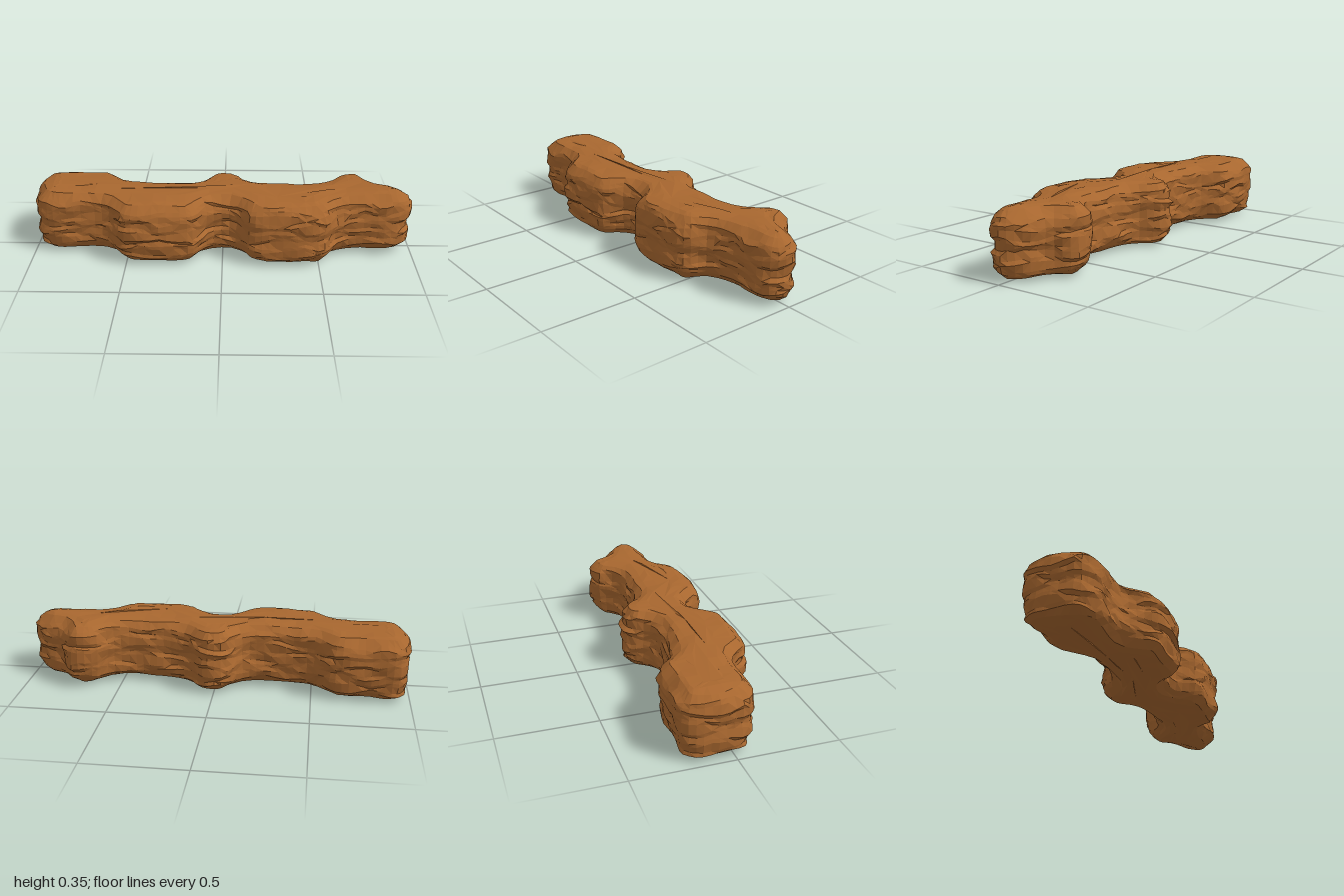
import * as THREE from 'three';

// Plan outline (x, z), clockwise seen from above
const OUTLINE = [
  [-0.99, -0.19], [-0.935, -0.25], [-0.78, -0.262], [-0.62, -0.25], [-0.56, -0.205], [-0.5, -0.15],
  [-0.42, -0.132], [-0.2, -0.132], [-0.14, -0.155], [-0.09, -0.22], [-0.04, -0.25], [0.05, -0.25],
  [0.1, -0.21], [0.15, -0.155], [0.25, -0.13], [0.5, -0.13], [0.56, -0.17], [0.6, -0.225],
  [0.66, -0.252], [0.73, -0.247], [0.78, -0.2], [0.82, -0.15], [0.92, -0.1], [0.98, -0.04],
  [0.995, 0.01], [0.96, 0.08], [0.87, 0.115], [0.65, 0.125], [0.59, 0.155], [0.54, 0.22],
  [0.48, 0.253], [0.2, 0.253], [0.13, 0.23], [0.09, 0.18], [0.04, 0.135], [-0.03, 0.13],
  [-0.08, 0.155], [-0.12, 0.21], [-0.18, 0.25], [-0.42, 0.26], [-0.52, 0.237], [-0.57, 0.175],
  [-0.62, 0.125], [-0.7, 0.117], [-0.9, 0.117], [-0.975, 0.07], [-0.997, -0.02],
];
// Middle line of the plan (x, z), towards which the caps run
const SPINE = [
  [-0.85, -0.07], [-0.62, -0.06], [-0.45, 0.04], [-0.2, 0.05], [0, -0.06],
  [0.2, 0.05], [0.45, 0.05], [0.6, -0.03], [0.7, -0.07], [0.86, 0],
];
const N = 132;        // samples around the outline
const STRATA = 7;     // horizontal rock layers
const HEIGHT = 0.334;

const hash = (a, b) => {
  const s = Math.sin(a * 127.1 + b * 311.7) * 43758.5453;
  return s - Math.floor(s);
};

// Noise from -1 to 1 that repeats around the outline; each row is a separate layer
function layerNoise(u, row, cells) {
  const p = u * cells + hash(row, 7) * cells;
  const i = Math.floor(p);
  const a = hash(i % cells, row), b = hash((i + 1) % cells, row);
  return THREE.MathUtils.lerp(a, b, p - i) * 2 - 1;
}

// Inward offset of the rounded top and bottom edges
function edgeInset(y) {
  const r = 0.085;
  const d = Math.max(0, r - Math.max(0.007, Math.min(y, HEIGHT - y)));
  return r - Math.sqrt(r * r - d * d);
}

// Nearest spine point straight across the wall
function spinePoint(x) {
  const cx = THREE.MathUtils.clamp(x, -0.85, 0.86);
  const i = Math.max(1, SPINE.findIndex(([sx]) => sx >= cx));
  const [x0, z0] = SPINE[i - 1], [x1, z1] = SPINE[i];
  return new THREE.Vector3(cx, 0, THREE.MathUtils.mapLinear(cx, x0, x1, z0, z1));
}

const capRelief = (x, z) => 0.003 * Math.sin(x * 17 + z * 9) + 0.002 * Math.sin(x * 31 - z * 23);

// Evenly spaced outline points with outward normals
function sampleOutline() {
  const curve = new THREE.CatmullRomCurve3(
    OUTLINE.map(([x, z]) => new THREE.Vector3(x, 0, z)), true, 'centripetal');
  return Array.from({ length: N }, (_, i) => {
    const u = i / N;
    const t = curve.getTangentAt(u);
    return { u, p: curve.getPointAt(u), n: new THREE.Vector3(t.z, 0, -t.x) };
  });
}

// Each layer has a lower and an upper ring, so neighbouring layers meet in ledges
function buildSideRings(base) {
  const rings = [];
  for (let k = 0; k < STRATA; k++) {
    for (const side of [0, 1]) {
      const bound = k + side;
      const row = k * 2 + side;
      const outer = bound === 0 || bound === STRATA;
      const level = ((bound + (side ? -0.2 : 0.2)) / STRATA) * HEIGHT;
      rings.push(base.map(({ u, p, n }, i) => {
        const y = outer
          ? (side ? HEIGHT - 0.01 : 0.01) + layerNoise(u, bound + 50, 40) * 0.005
          : level + layerNoise(u, bound + 50, 50) * 0.017;
        const bulge = -0.01 + layerNoise(u, k + 10, 40) * 0.011
          + layerNoise(u, row + 30, 62) * 0.008 + (hash(i, row) - 0.5) * 0.005;
        return p.clone().addScaledVector(n, bulge - edgeInset(y)).setY(y);
      }));
    }
  }
  return rings;
}

// Border and inner ring of a cap, from the rounded rim towards the spine
function buildCapRings(base, up) {
  const row = up ? 90 : 80;
  const lift = (p, rise) => {
    const h = rise + capRelief(p.x, p.z + row);
    return p.setY(up ? HEIGHT + h : -h);
  };
  const border = base.filter((_, i) => i % 2 === 0).map(({ u, p, n }) =>
    p.clone().addScaledVector(n, -0.088 + layerNoise(u, row, 40) * 0.008));
  const inner = border.map((p, i) =>
    p.clone().lerp(spinePoint(p.x), 0.4 + hash(i, row) * 0.3));
  return [border.map((p) => lift(p, -0.003)), inner.map((p) => lift(p, 0.001))];
}

function buildRockGeometry() {
  const base = sampleOutline();
  const rings = buildSideRings(base);
  const pos = [];
  const tri = (a, b, c) => pos.push(...a.toArray(), ...b.toArray(), ...c.toArray());

  // Strip between two rings of equal count, with irregular diagonals
  const strip = (lower, upper, up, seed) => {
    const face = (a, b, c) => (up ? tri(a, b, c) : tri(a, c, b));
    lower.forEach((a, i) => {
      const k = (i + 1) % lower.length;
      const b = lower[k], c = upper[i], d = upper[k];
      if (hash(i, seed) > 0.5) { face(a, c, b); face(b, c, d); }
      else { face(a, c, d); face(a, d, b); }
    });
  };

  // Layered sides
  for (let j = 0; j < rings.length - 1; j++) strip(rings[j], rings[j + 1], true, j + 200);

  // Top and underside
  for (const up of [true, false]) {
    const rim = up ? rings[rings.length - 1] : rings[0];
    const [border, inner] = buildCapRings(base, up);
    border.forEach((c, i) => {
      const a = rim[2 * i], m = rim[2 * i + 1], b = rim[(2 * i + 2) % N];
      const d = border[(i + 1) % border.length];
      for (const [p, q, r] of [[a, c, m], [m, c, d], [m, d, b]]) {
        if (up) tri(p, q, r);
        else tri(p, r, q);
      }
    });
    strip(border, inner, up, 300);
    const flat = inner.map((p) => new THREE.Vector2(p.x, p.z));
    for (const corners of THREE.ShapeUtils.triangulateShape(flat, [])) {
      const [a, b, c] = corners.map((i) => inner[i]);
      const ny = (b.z - a.z) * (c.x - a.x) - (b.x - a.x) * (c.z - a.z);
      if ((ny > 0) === up) tri(a, b, c);
      else tri(a, c, b);
    }
  }

  const geo = new THREE.BufferGeometry();
  geo.setAttribute('position', new THREE.Float32BufferAttribute(pos, 3));
  geo.computeVertexNormals();

  // Stand on the ground, centred
  geo.computeBoundingBox();
  const { min, max } = geo.boundingBox;
  return geo.translate(-(min.x + max.x) / 2, -min.y, -(min.z + max.z) / 2);
}

export function createModel() {
  const group = new THREE.Group();
  group.name = 'rockWall';
  const material = new THREE.MeshStandardMaterial({ color: 0xa8672f, flatShading: true });
  const rock = new THREE.Mesh(buildRockGeometry(), material);
  rock.name = 'layeredRock';
  group.add(rock);
  return group;
}
